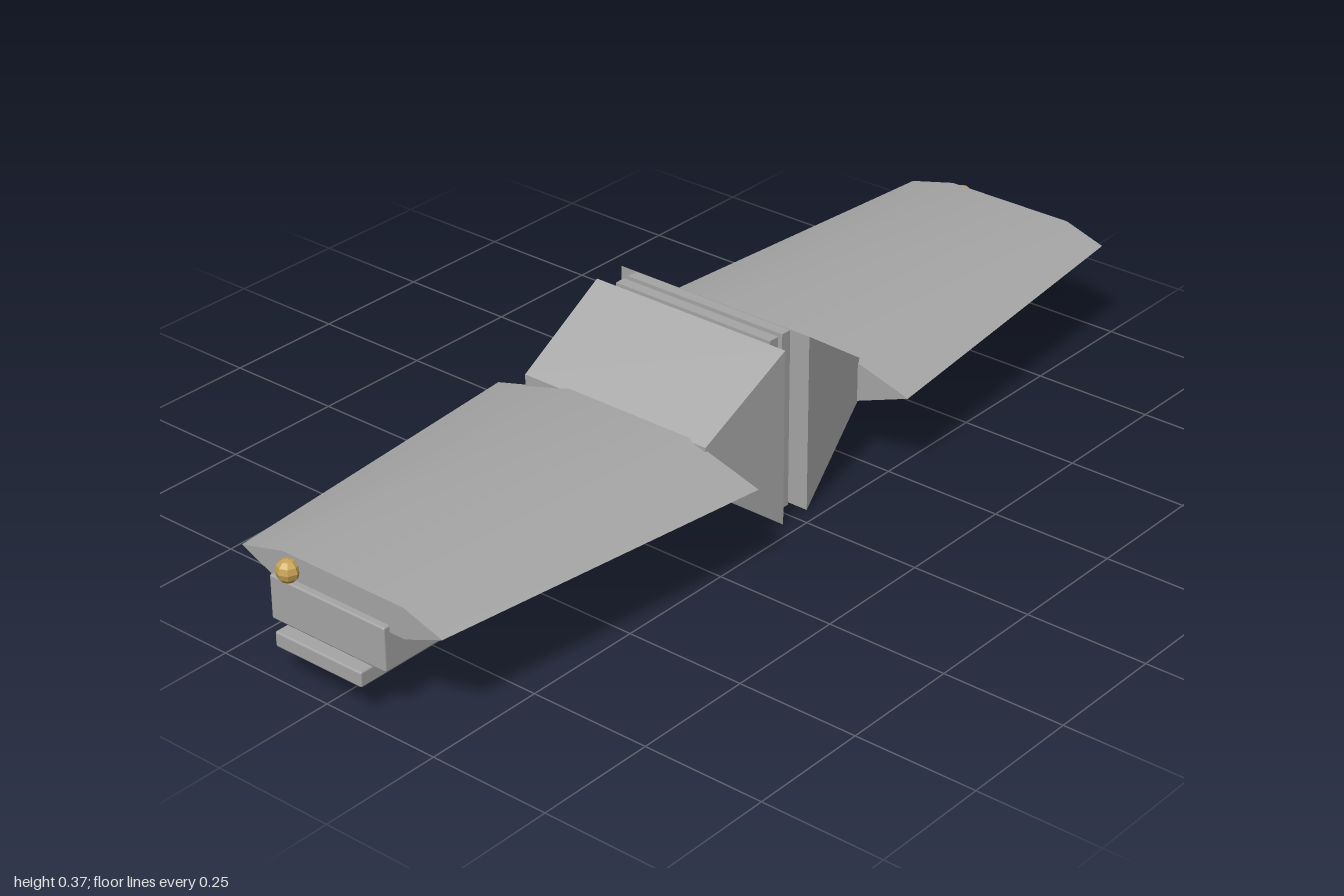
import * as THREE from 'three';
import { toCreasedNormals } from 'three/addons/utils/BufferGeometryUtils.js';
import { RoundedBoxGeometry } from 'three/addons/geometries/RoundedBoxGeometry.js';

// Skin between two [x, profile] stations; profiles are convex [z, y] loops running from top to front to bottom
function loft(stations, side) {
  const ordered = side > 0 ? stations : [...stations].reverse();
  const [a, b] = ordered.map(([x, profile]) => profile.map(([z, y]) => [side * x, y, z]));
  const pos = [];
  const tri = (...corners) => corners.forEach((c) => pos.push(...c));
  const n = a.length;
  for (let i = 0; i < n; i++) {
    const j = (i + 1) % n;
    tri(a[i], a[j], b[j]);
    tri(a[i], b[j], b[i]);
  }
  for (let i = 1; i < n - 1; i++) {
    tri(a[0], a[i + 1], a[i]);
    tri(b[0], b[i], b[i + 1]);
  }
  const geometry = new THREE.BufferGeometry();
  geometry.setAttribute('position', new THREE.Float32BufferAttribute(pos, 3));
  return toCreasedNormals(geometry, 0.5);
}

export function createModel() {
  const model = new THREE.Group();
  model.name = 'wingedStrut';
  const grey = new THREE.MeshStandardMaterial({ name: 'hull grey', color: 0xa6a6a6 });
  const gold = new THREE.MeshStandardMaterial({ name: 'lamp gold', color: 0xc6a254 });

  const add = (parent, name, geometry, material, x = 0, y = 0, z = 0) => {
    const mesh = new THREE.Mesh(geometry, material);
    mesh.name = name;
    mesh.position.set(x, y, z);
    parent.add(mesh);
    return mesh;
  };
  const rect = (zBack, zFront, y0, y1) => [[zBack, y1], [zFront, y1], [zFront, y0], [zBack, y0]];

  // Recessed core joining the two halves
  add(model, 'hubCore', new THREE.BoxGeometry(0.08, 0.34, 0.35), grey, 0, 0.186, -0.003);

  for (const side of [1, -1]) {
    const half = new THREE.Group();
    half.name = side > 0 ? 'leftHalf' : 'rightHalf';
    model.add(half);

    // Centre plate and tapering hub block
    add(half, 'hubPlate', new THREE.BoxGeometry(0.023, 0.368, 0.37), grey, side * 0.0175, 0.186, -0.003);
    add(half, 'hubBlock', loft([
      [0.035, rect(-0.23, 0.222, 0.003, 0.367)],
      [0.225, rect(-0.243, 0.193, 0.148, 0.237)],
    ], side), grey);

    // Wing with a sharp leading and trailing edge
    add(half, 'wing', loft([
      [0.22, [[-0.14, 0.241], [0.15, 0.241], [0.312, 0.193], [0.19, 0.146], [-0.197, 0.146], [-0.317, 0.193]]],
      [0.96, [[-0.13, 0.237], [0.155, 0.237], [0.242, 0.209], [0.155, 0.175], [-0.15, 0.175], [-0.232, 0.211]]],
    ], side), grey);

    // Pod, foot plate and studs under the wing tip
    add(half, 'pod', new RoundedBoxGeometry(0.156, 0.089, 0.273, 1, 0.004), grey, side * 0.896, 0.1445, -0.0165);
    add(half, 'footPlate', new RoundedBoxGeometry(0.203, 0.031, 0.206, 1, 0.004), grey, side * 0.8985, 0.0845, -0.0165);
    for (const x of [0.83, 0.965]) {
      for (const z of [0.047, -0.078]) {
        add(half, 'stud', new THREE.CylinderGeometry(0.01, 0.01, 0.018, 6), grey, side * x, 0.064, z);
      }
    }

    // Tip lamp
    const ball = toCreasedNormals(new THREE.SphereGeometry(0.023, 8, 6), 0.1);
    add(half, 'tipLamp', ball, gold, side * 0.968, 0.21, -0.111);
  }
  return model;
}
